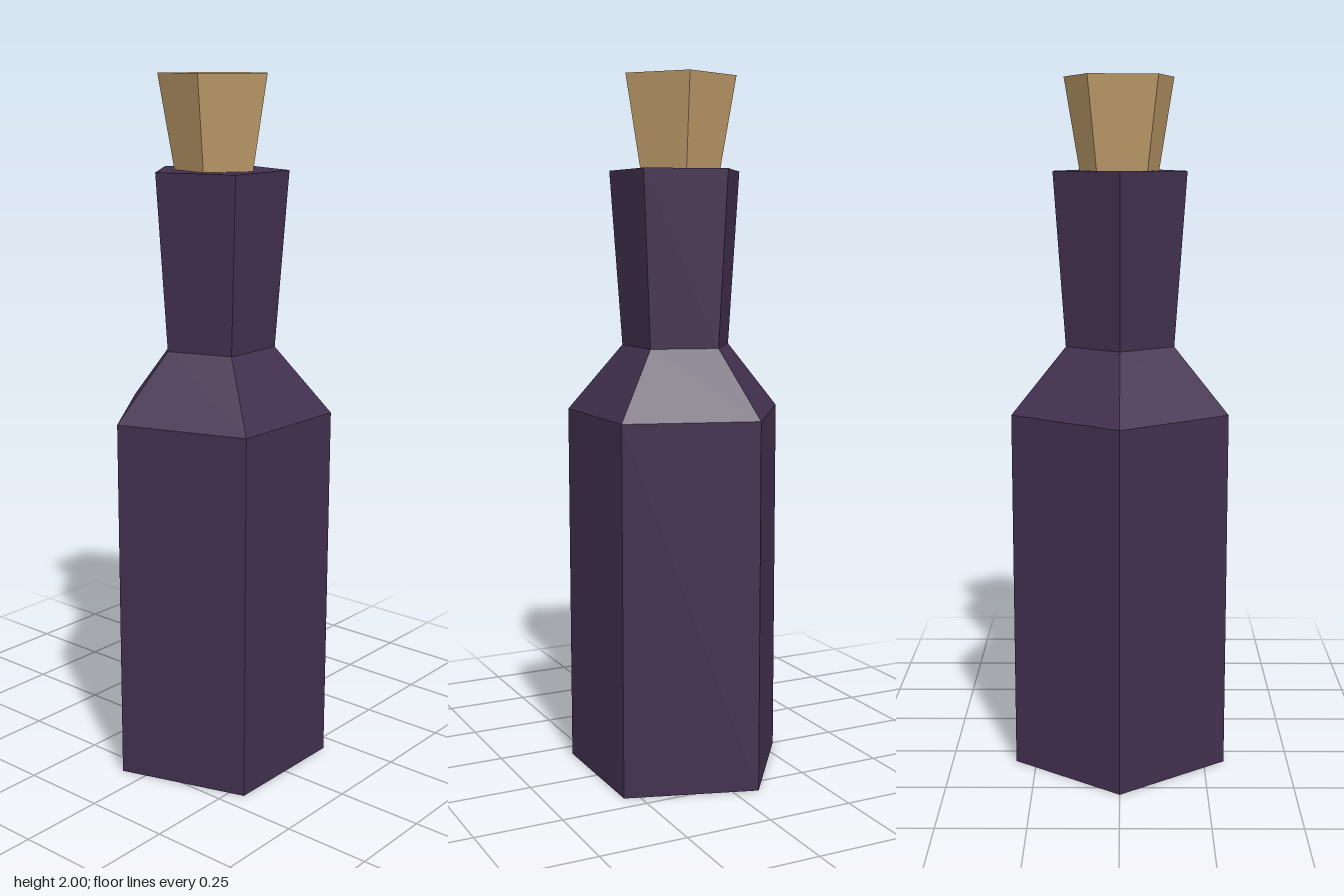
import * as THREE from 'three';

const SIDES = 5;
const CENTRE_Z = 0.03; // pentagon centre, so the bounding box is centred on z = 0

// Faceted solid turned from a [radius, height] profile, listed bottom to top
function turned(name, profile, startAngle, material) {
  const points = profile.map(([r, y]) => new THREE.Vector2(r, y));
  const mesh = new THREE.Mesh(new THREE.LatheGeometry(points, SIDES, startAngle), material);
  mesh.name = name;
  mesh.position.z = CENTRE_Z;
  return mesh;
}

export function createModel() {
  const glass = new THREE.MeshStandardMaterial({ name: 'dark purple glass', color: 0x42304f, flatShading: true });
  const corkWood = new THREE.MeshStandardMaterial({ name: 'tan cork', color: 0xbc9a68, flatShading: true });

  const bottle = new THREE.Group();
  bottle.name = 'bottle';

  // Body, sloping shoulder and flared neck, closed at both ends
  bottle.add(turned('glassBody', [
    [0, 0], [0.326, 0], [0.326, 1.055], [0.163, 1.245], [0.198, 1.74], [0, 1.74],
  ], Math.PI, glass));

  // Tapered stopper, turned slightly against the bottle and sunk a little into the neck
  bottle.add(turned('corkStopper', [
    [0, 1.7], [0.113, 1.7], [0.165, 2], [0, 2],
  ], 0.06, corkWood));

  return bottle;
}
